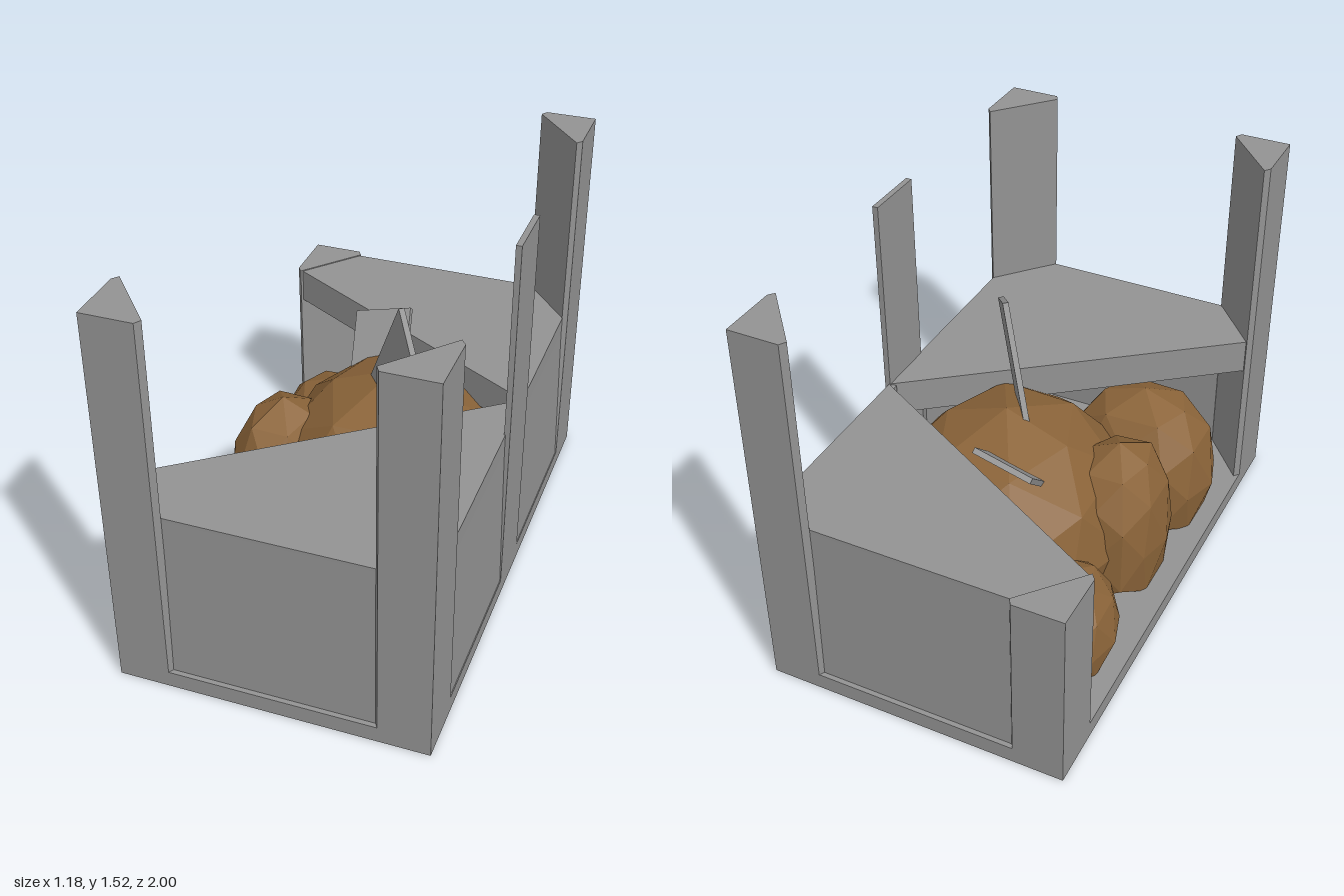
import * as THREE from 'three';

const grey = new THREE.MeshStandardMaterial({ color: 0x939393, flatShading: true });
const brown = new THREE.MeshStandardMaterial({ color: 0x8b6439, flatShading: true });

export function createModel() {
  const model = new THREE.Group();

  const add = (name, geometry, material = grey) => {
    const mesh = new THREE.Mesh(geometry, material);
    mesh.name = name;
    model.add(mesh);
    return mesh;
  };

  // Box given by its low and high corners
  const block = (name, a, b) => {
    const mesh = add(name, new THREE.BoxGeometry(b[0] - a[0], b[1] - a[1], b[2] - a[2]));
    mesh.position.set((a[0] + b[0]) / 2, (a[1] + b[1]) / 2, (a[2] + b[2]) / 2);
    return mesh;
  };

  // Upright prism over an outline of [x, z] points
  const prism = (name, outline, y0, y1) => {
    const shape = new THREE.Shape(outline.map(([x, z]) => new THREE.Vector2(x, -z)));
    const geometry = new THREE.ExtrudeGeometry(shape, { depth: y1 - y0, bevelEnabled: false });
    geometry.rotateX(-Math.PI / 2).translate(0, y0, 0);
    add(name, geometry);
  };

  // Floor slab
  block('floor', [-0.59, 0, -1], [0.59, 0.065, 1]);

  // Corner posts: three tall, the back one on the open side broken off at lid height
  for (const sx of [-1, 1]) {
    for (const sz of [-1, 1]) {
      const broken = sx < 0 && sz < 0;
      const outline = [[0.59, 1], [0.395, 1], [0.38, 0.975], [0.572, 0.752], [0.59, 0.775]];
      prism(broken ? 'brokenCornerPost' : 'cornerPost',
        outline.map(([x, z]) => [x * sx, z * sz]), 0.06, broken ? 0.754 : 1.52);
    }
  }

  // Flat post halfway along the closed side
  block('middlePost', [0.568, 0.06, -0.12], [0.59, 1.52, 0.12]);

  // Walls set back slightly from the posts, leaning in a little; one long side stays open
  for (const s of [-1, 1]) {
    const z = [0.947 * s, 0.977 * s].sort((a, b) => a - b);
    block('endWall', [-0.4, 0.06, z[0]], [0.4, 0.745, z[1]]).rotation.x = -0.012 * s;
    const run = [0.11 * s, 0.78 * s].sort((a, b) => a - b);
    block('sideWall', [0.553, 0.06, run[0]], [0.579, 0.745, run[1]]).rotation.z = 0.022;
  }

  // Two halves of the lid, leaving a wedge-shaped opening
  for (const s of [-1, 1]) {
    prism('lidHalf', [[-0.575, 0.765 * s], [0.573, -0.12], [0.573, 0.755 * s],
      [0.38, 0.973 * s], [-0.38, 0.973 * s]], 0.61, 0.75);
  }

  // Faceted lumps: dented spheres, squared off by the power and flattened on the floor
  const rock = (name, [cx, cy, cz], [rx, ry, rz], power, seed) => {
    const geometry = new THREE.IcosahedronGeometry(1, 1);
    const pos = geometry.attributes.position;
    const v = new THREE.Vector3();
    const square = (t) => Math.sign(t) * Math.abs(t) ** power;
    for (let i = 0; i < pos.count; i++) {
      v.fromBufferAttribute(pos, i);
      const dent = 0.97 + 0.03 * Math.sin(5 * v.x + seed) * Math.cos(4 * v.z - seed);
      v.multiplyScalar(Math.max(Math.abs(v.x), v.y) > 0.99 ? 1 : dent);
      pos.setXYZ(i, cx + square(v.x) * rx, Math.max(0.05, cy + square(v.y) * ry),
        cz + square(v.z) * rz);
    }
    geometry.computeVertexNormals();
    add(name, geometry, brown);
  };
  rock('largeLump', [0.075, 0.28, -0.1], [0.5, 0.505, 0.57], 1, 1);
  rock('backLump', [-0.33, 0.17, -0.47], [0.22, 0.26, 0.25], 0.92, 2);
  rock('middleLump', [-0.33, 0.26, 0.04], [0.21, 0.4, 0.26], 0.88, 3);
  rock('frontLump', [-0.26, 0.24, 0.46], [0.31, 0.38, 0.26], 0.85, 4);

  // Boards stuck into the heap: a top corner, the way down and the way across
  const board = (name, corner, down, across, length, width, thickness) => {
    const d = new THREE.Vector3(...down).normalize();
    const n = new THREE.Vector3(...across).cross(d).normalize();
    const a = d.clone().cross(n);
    const geometry = new THREE.BoxGeometry(width, length, thickness);
    geometry.translate(width / 2, length / 2, thickness / 2);
    geometry.applyMatrix4(new THREE.Matrix4().makeBasis(a, d, n).setPosition(...corner));
    add(name, geometry);
  };
  board('tallBoard', [0.136, 1.15, 0.045], [-0.11, -0.285, -0.1], [0.12, -0.11, 0.19], 0.55, 0.235, 0.022);
  board('lowBoard', [-0.205, 0.8, -0.448], [0.04, -0.16, 0.18], [0.225, 0.06, 0], 0.32, 0.235, 0.022);

  return model;
}
